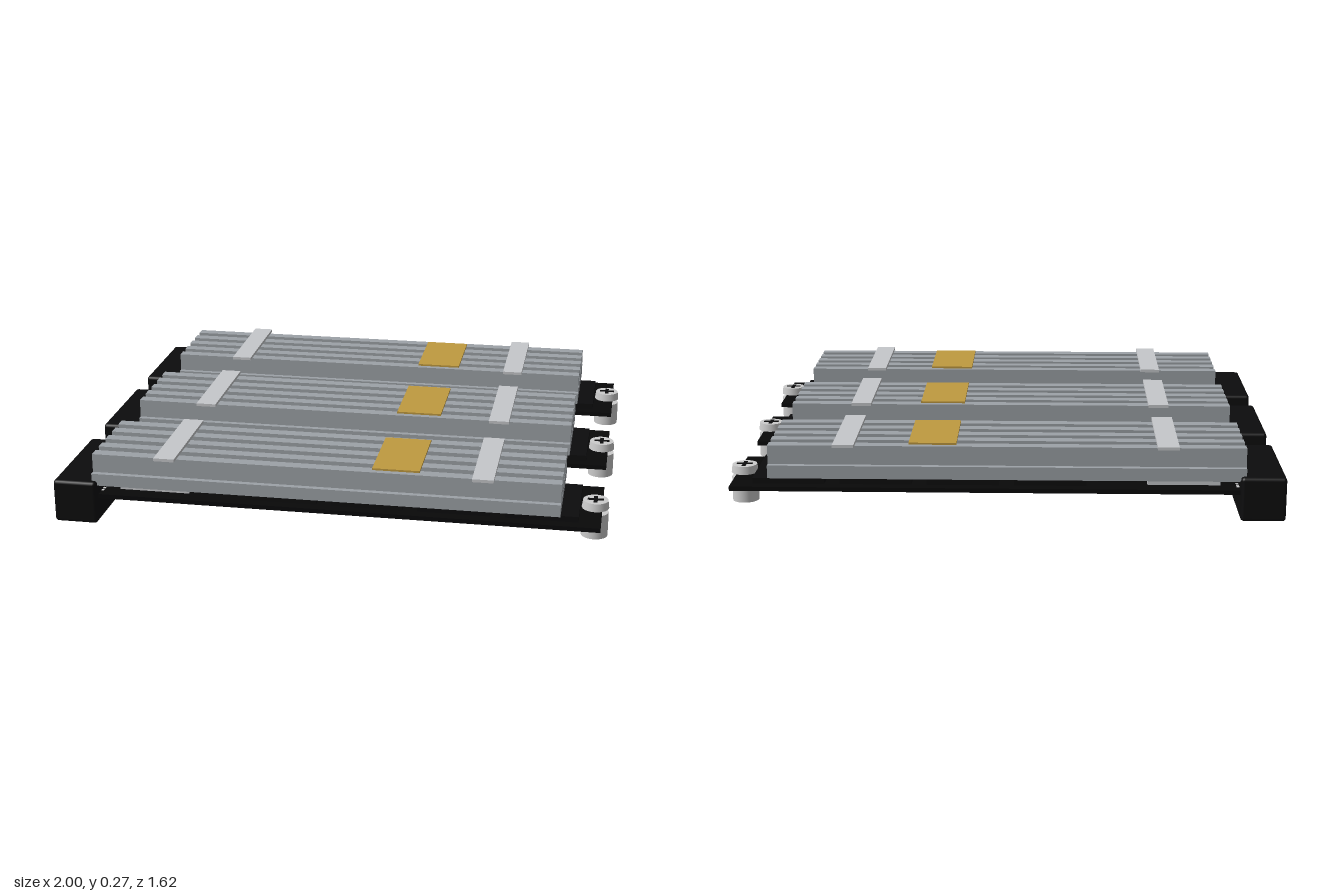
import * as THREE from 'three';
import { RoundedBoxGeometry } from 'three/addons/geometries/RoundedBoxGeometry.js';

const material = (name, color) => Object.assign(new THREE.MeshStandardMaterial({ color }), { name });

export function createModel() {
  const black = material('black plastic', 0x0c0c0d);
  const board = material('board black', 0x080809);
  const aluminium = material('aluminium', 0x9da2a7);
  const clipMetal = material('clip metal', 0xc6c8cb);
  const steel = material('steel', 0xcccccc);
  const gold = material('gold pad', 0xbf9a40);

  // Box given by its extents in x and y, its centre in z and its depth
  function box(parent, name, mat, x0, x1, y0, y1, depth, z = 0) {
    const mesh = new THREE.Mesh(new THREE.BoxGeometry(x1 - x0, y1 - y0, depth), mat);
    mesh.position.set((x0 + x1) / 2, (y0 + y1) / 2, z);
    mesh.name = name;
    parent.add(mesh);
    return mesh;
  }

  function createCard() {
    const card = new THREE.Group();

    // Socket and circuit board
    const socket = new THREE.Mesh(new RoundedBoxGeometry(0.16, 0.16, 0.44, 2, 0.012), black);
    socket.position.set(-0.92, 0.08, 0);
    socket.name = 'socket';
    card.add(socket);
    box(card, 'circuitBoard', board, -0.88, 0.975, 0.09, 0.106, 0.38);

    // Edge contacts, above and below the board
    for (let i = 0; i < 16; i++) {
      if (i === 3) continue;
      const z = -0.15 + i * 0.02;
      box(card, 'contactBelow', steel, -0.85, -0.83, 0.088, 0.09, 0.01, z);
      box(card, 'contactAbove', steel, -0.85, -0.83, 0.106, 0.108, 0.01, z);
    }

    // Chips under the heat sink
    box(card, 'controllerChip', clipMetal, -0.775, -0.515, 0.106, 0.127, 0.26);
    box(card, 'cacheChip', black, -0.48, -0.34, 0.106, 0.125, 0.2);
    for (let i = 0; i < 4; i++) {
      const x = -0.297 + i * 0.312;
      box(card, 'memoryChip', black, x, x + 0.258, 0.106, 0.127, 0.3);
    }

    // Finned heat sink
    const sink = new THREE.Group();
    sink.name = 'heatSink';
    card.add(sink);
    box(sink, 'thermalPad', aluminium, -0.855, 0.832, 0.13, 0.142, 0.33);
    box(sink, 'sinkBase', aluminium, -0.86, 0.835, 0.142, 0.187, 0.394);
    for (let i = -2; i <= 2; i++) {
      box(sink, 'fin', aluminium, -0.86, 0.835, 0.187, 0.256, 0.042, i * 0.078);
    }

    // Retaining clips and gold pad on the fins
    for (const x of [-0.583, 0.563]) {
      box(card, 'clip', clipMetal, x - 0.038, x + 0.038, 0.256, 0.267, 0.412);
    }
    box(card, 'goldPad', gold, 0.165, 0.335, 0.256, 0.263, 0.31);

    // Standoff and cross-head screw
    const screw = new THREE.Group();
    screw.name = 'screw';
    screw.position.x = 0.95;
    card.add(screw);
    const standoff = new THREE.Mesh(new THREE.CylinderGeometry(0.048, 0.048, 0.09, 32), steel);
    standoff.position.y = 0.045;
    standoff.name = 'standoff';
    const head = new THREE.Mesh(new THREE.CylinderGeometry(0.045, 0.049, 0.029, 32), steel);
    head.position.y = 0.1205;
    head.name = 'screwHead';
    screw.add(standoff, head);
    box(screw, 'crossSlot', black, -0.029, 0.029, 0.134, 0.137, 0.014);
    box(screw, 'crossSlot', black, -0.007, 0.007, 0.134, 0.1365, 0.058);
    return card;
  }

  const model = new THREE.Group();
  model.name = 'storageCards';
  ['backCard', 'middleCard', 'frontCard'].forEach((name, i) => {
    const card = createCard();
    card.name = name;
    card.position.z = (i - 1) * 0.59;
    model.add(card);
  });
  return model;
}
